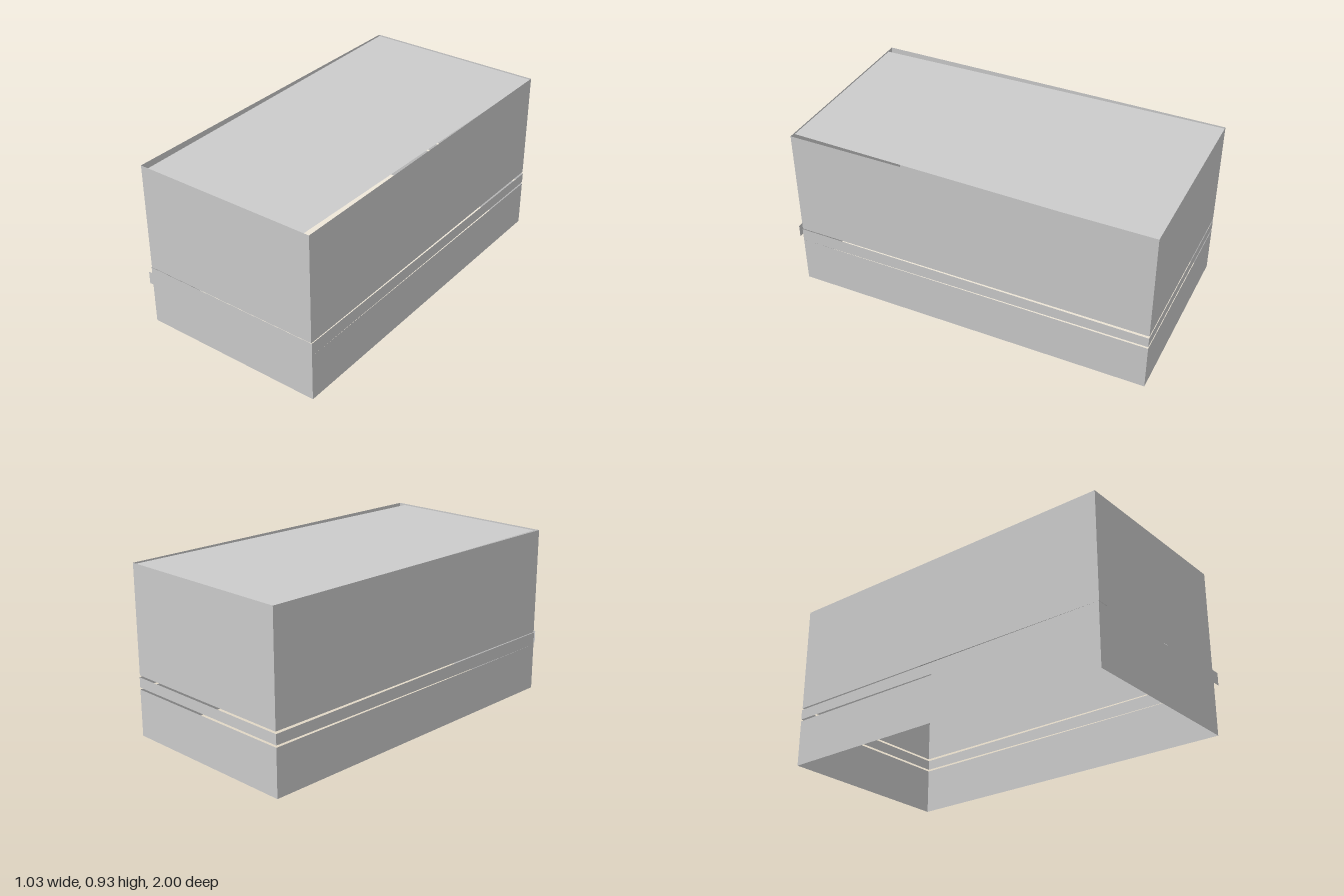
import * as THREE from 'three';

const FRONT = 0.967, BACK = -1;

export function createModel() {
  const group = new THREE.Group();
  const material = new THREE.MeshStandardMaterial({
    color: 0xcccccc, side: THREE.DoubleSide, flatShading: true,
  });

  // One thin sheet from four corners, counter-clockwise seen from outside
  const sheet = (name, a, b, c, d) => {
    const geometry = new THREE.BufferGeometry();
    geometry.setAttribute('position',
      new THREE.Float32BufferAttribute([a, b, c, a, c, d].flat(), 3));
    geometry.computeVertexNormals();
    const mesh = new THREE.Mesh(geometry, material);
    mesh.name = name;
    group.add(mesh);
  };

  // Ring of four walls; lower and upper edges may slope from front to back
  const ring = (name, w, lowFront, lowBack, topFront, topBack) => {
    sheet(name + 'Front', [-w, lowFront, FRONT], [w, lowFront, FRONT],
      [w, topFront, FRONT], [-w, topFront, FRONT]);
    sheet(name + 'Back', [w, lowBack, BACK], [-w, lowBack, BACK],
      [-w, topBack, BACK], [w, topBack, BACK]);
    sheet(name + 'LeftSide', [w, lowFront, FRONT], [w, lowBack, BACK],
      [w, topBack, BACK], [w, topFront, FRONT]);
    sheet(name + 'RightSide', [-w, lowBack, BACK], [-w, lowFront, FRONT],
      [-w, topFront, FRONT], [-w, topBack, BACK]);
  };

  // Base, middle band and upper body, parted by gaps that widen to the back
  ring('base', 0.515, 0, 0, 0.26, 0.256);
  ring('band', 0.515, 0.26, 0.267, 0.332, 0.323);
  ring('upperBody', 0.512, 0.334, 0.334, 0.925, 0.925);

  // Top panel, slightly sunk and narrowing to the front
  const y = 0.917;
  sheet('topPanel', [-0.475, y, FRONT], [0.475, y, FRONT],
    [0.511, y, BACK], [-0.511, y, BACK]);

  // Pair of drawer fronts standing off the front wall
  for (const [name, x0, x1] of [['leftDrawerFront', 0.02, 0.5], ['rightDrawerFront', -0.5, -0.02]]) {
    sheet(name, [x0, 0.26, 1], [x1, 0.26, 1], [x1, 0.33, 1], [x0, 0.33, 1]);
  }

  return group;
}
